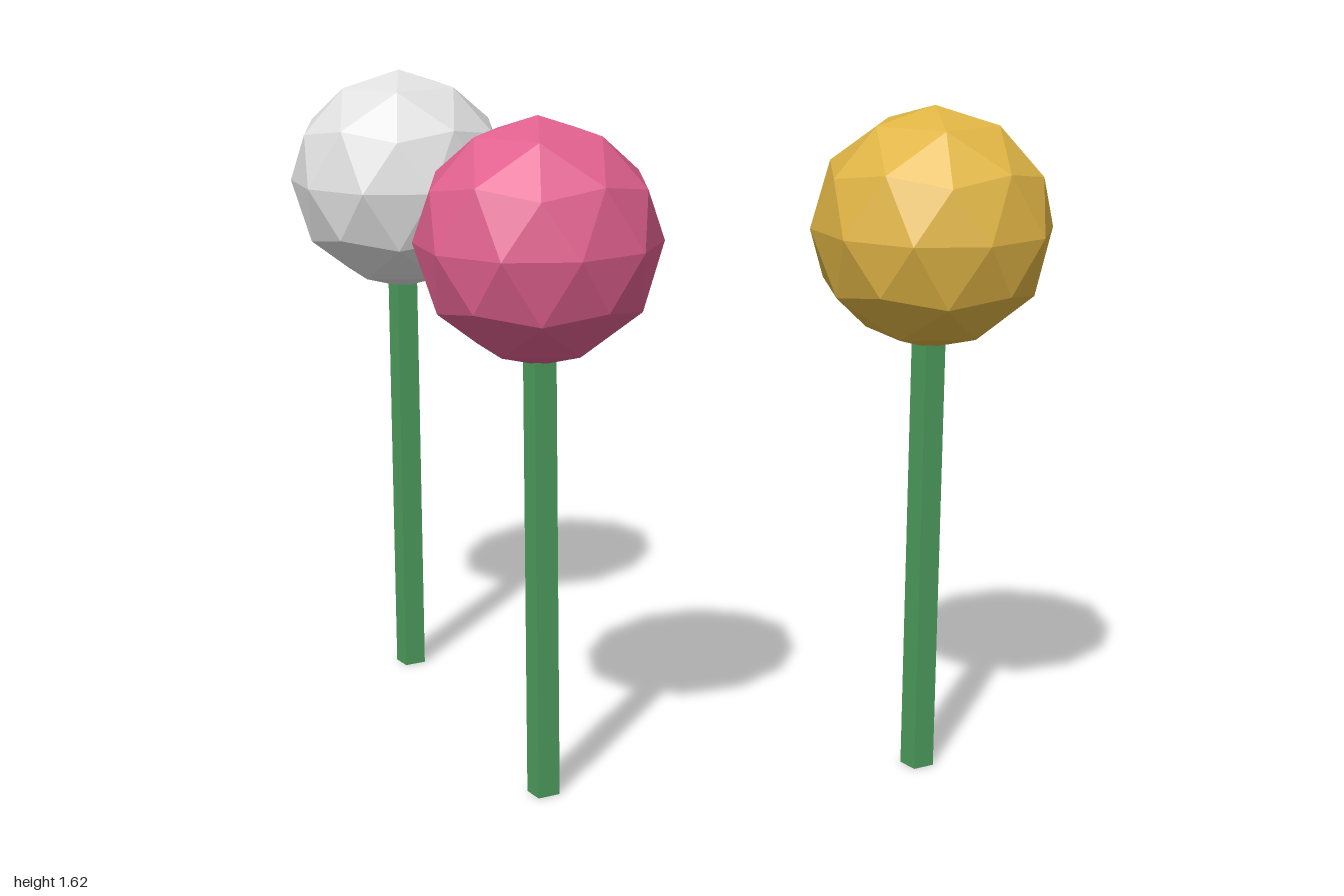
import * as THREE from 'three';

const BALL_RADIUS = 0.286;
const BALL_HEIGHT = 1.33;
const STEM_HEIGHT = 1.2;

function material(name, color) {
  const m = new THREE.MeshStandardMaterial({ color });
  m.name = name;
  m.flatShading = true;
  return m;
}

export function createModel() {
  const model = new THREE.Group();
  model.name = 'ballFlowers';

  const green = material('stem green', 0x4d9e5e);

  // Faceted ball standing on a five-fold corner, with an upper corner facing +x
  const ballGeometry = new THREE.IcosahedronGeometry(BALL_RADIUS, 1);
  ballGeometry.rotateX(-Math.atan((1 + Math.sqrt(5)) / 2));
  ballGeometry.rotateY(Math.PI / 2);
  ballGeometry.translate(0, BALL_HEIGHT, 0);

  // Square stem set cornerwise, its top sunk into the ball
  const stemGeometry = new THREE.CylinderGeometry(0.04, 0.04, STEM_HEIGHT, 4);
  stemGeometry.translate(0, STEM_HEIGHT / 2, 0);

  const flowers = [
    ['white', 0xe0e0e0, -0.728, -0.413],
    ['pink', 0xe0608e, -0.105, 0.413],
    ['yellow', 0xe0b545, 0.728, 0],
  ];

  for (const [name, color, x, z] of flowers) {
    const flower = new THREE.Group();
    flower.name = name + 'Flower';
    flower.position.set(x, 0, z);

    const stem = new THREE.Mesh(stemGeometry, green);
    stem.name = name + 'Stem';
    const ball = new THREE.Mesh(ballGeometry, material(name + ' bloom', color));
    ball.name = name + 'Bloom';

    flower.add(stem, ball);
    model.add(flower);
  }
  return model;
}
